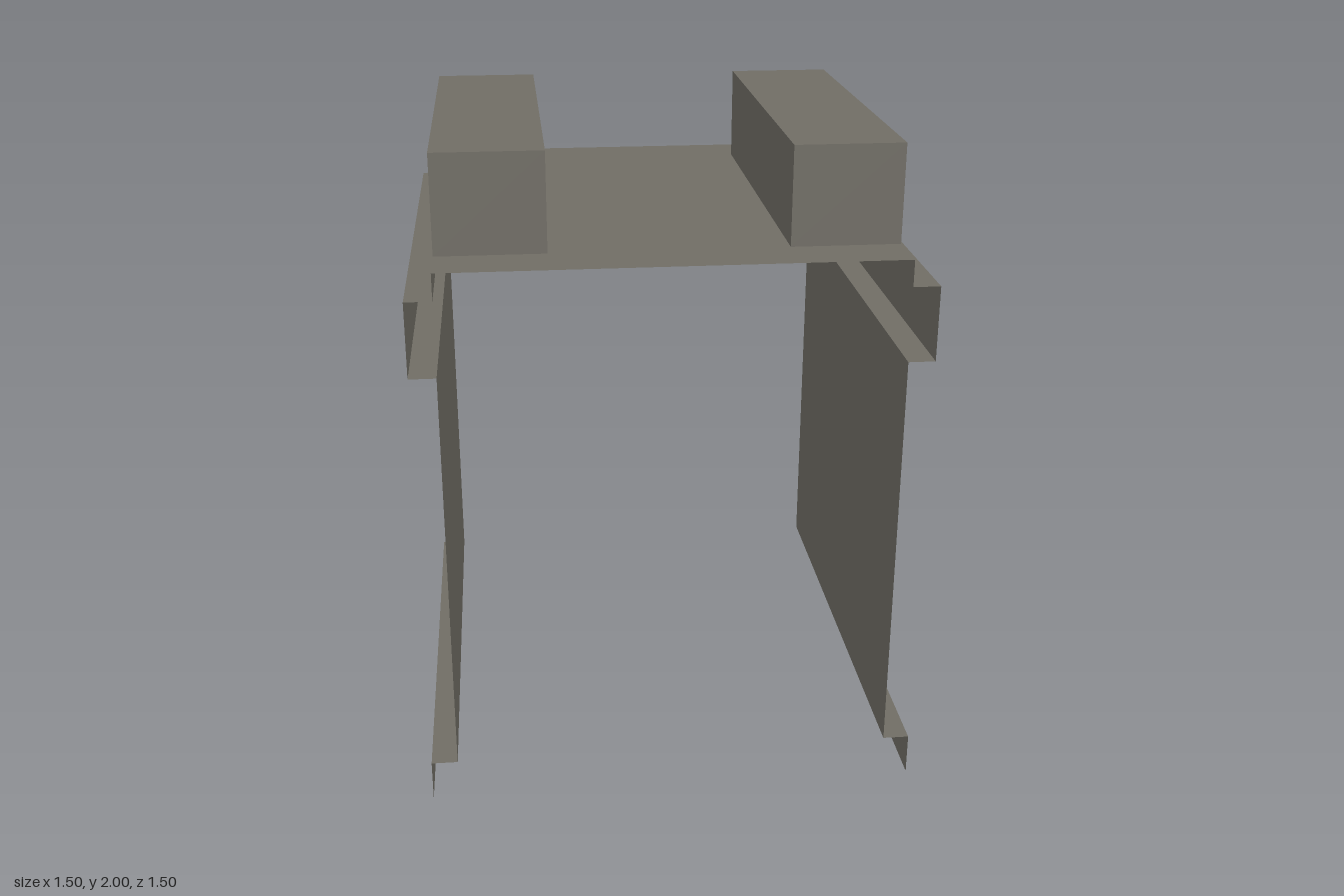
import * as THREE from 'three';

const HALF_DEPTH = 0.75;
const ROOF_Y = 1.705;
const DUCT = { inner: 0.348, outer: 0.67, top: 2, halfDepth: 0.59 };

// Sweeps an open [x, y] profile along z into a folded sheet with sharp bends
function foldedSheet(profile, halfDepth) {
  const pos = [];
  for (let i = 0; i < profile.length - 1; i++) {
    const [ax, ay] = profile[i];
    const [bx, by] = profile[i + 1];
    const a0 = [ax, ay, halfDepth], a1 = [ax, ay, -halfDepth];
    const b0 = [bx, by, halfDepth], b1 = [bx, by, -halfDepth];
    pos.push(...a0, ...a1, ...b1, ...a0, ...b1, ...b0);
  }
  const geo = new THREE.BufferGeometry();
  geo.setAttribute('position', new THREE.Float32BufferAttribute(pos, 3));
  geo.computeVertexNormals();
  return geo;
}

// Mirrors a profile across x = 0, reversed so that faces still point outward
const mirrored = (profile) => profile.map(([x, y]) => [-x, y]).reverse();

export function createModel() {
  const model = new THREE.Group();
  model.name = 'steppedCanopy';
  const metal = new THREE.MeshStandardMaterial({ color: 0x706d65, side: THREE.DoubleSide });
  metal.name = 'warm grey';

  const add = (parent, name, geometry) => {
    const mesh = new THREE.Mesh(geometry, metal);
    mesh.name = name;
    parent.add(mesh);
    return mesh;
  };

  const wall = [
    [0.75, 0], [0.75, 0.13], [0.67, 0.13], [0.67, 1.4],
    [0.75, 1.4], [0.75, 1.625], [0.67, 1.625], [0.67, ROOF_Y],
  ];
  const shell = [
    [DUCT.outer, ROOF_Y], [DUCT.outer, DUCT.top],
    [DUCT.inner, DUCT.top], [DUCT.inner, ROOF_Y],
  ];

  for (const side of [1, -1]) {
    const label = side > 0 ? 'left' : 'right';

    // Folded side wall with base and eave steps
    add(model, label + 'Wall', foldedSheet(side > 0 ? wall : mirrored(wall), HALF_DEPTH));

    // Hollow roof box, open underneath
    const box = new THREE.Group();
    box.name = label + 'RoofBox';
    add(box, 'boxShell', foldedSheet(side > 0 ? shell : mirrored(shell), DUCT.halfDepth));
    for (const end of [1, -1]) {
      const cap = add(box, end > 0 ? 'frontCap' : 'backCap',
        new THREE.PlaneGeometry(DUCT.outer - DUCT.inner, DUCT.top - ROOF_Y));
      cap.position.set(side * (DUCT.outer + DUCT.inner) / 2, (DUCT.top + ROOF_Y) / 2, end * DUCT.halfDepth);
      if (end < 0) cap.rotation.y = Math.PI;
    }
    model.add(box);
  }

  // Flat roof, cut away below both boxes
  const { inner, outer, halfDepth } = DUCT;
  const quarter = [[inner, halfDepth], [outer, halfDepth], [outer, HALF_DEPTH]];
  const halfOutline = [
    ...quarter.map(([x, z]) => [x, -z]).reverse(),
    ...quarter,
  ];
  const outline = [...halfOutline, ...halfOutline.map(([x, z]) => [-x, -z])];
  const roofShape = new THREE.Shape(outline.map(([x, z]) => new THREE.Vector2(x, z)));
  const roof = new THREE.ShapeGeometry(roofShape);
  roof.rotateX(-Math.PI / 2).translate(0, ROOF_Y, 0);
  add(model, 'roof', roof);

  return model;
}
